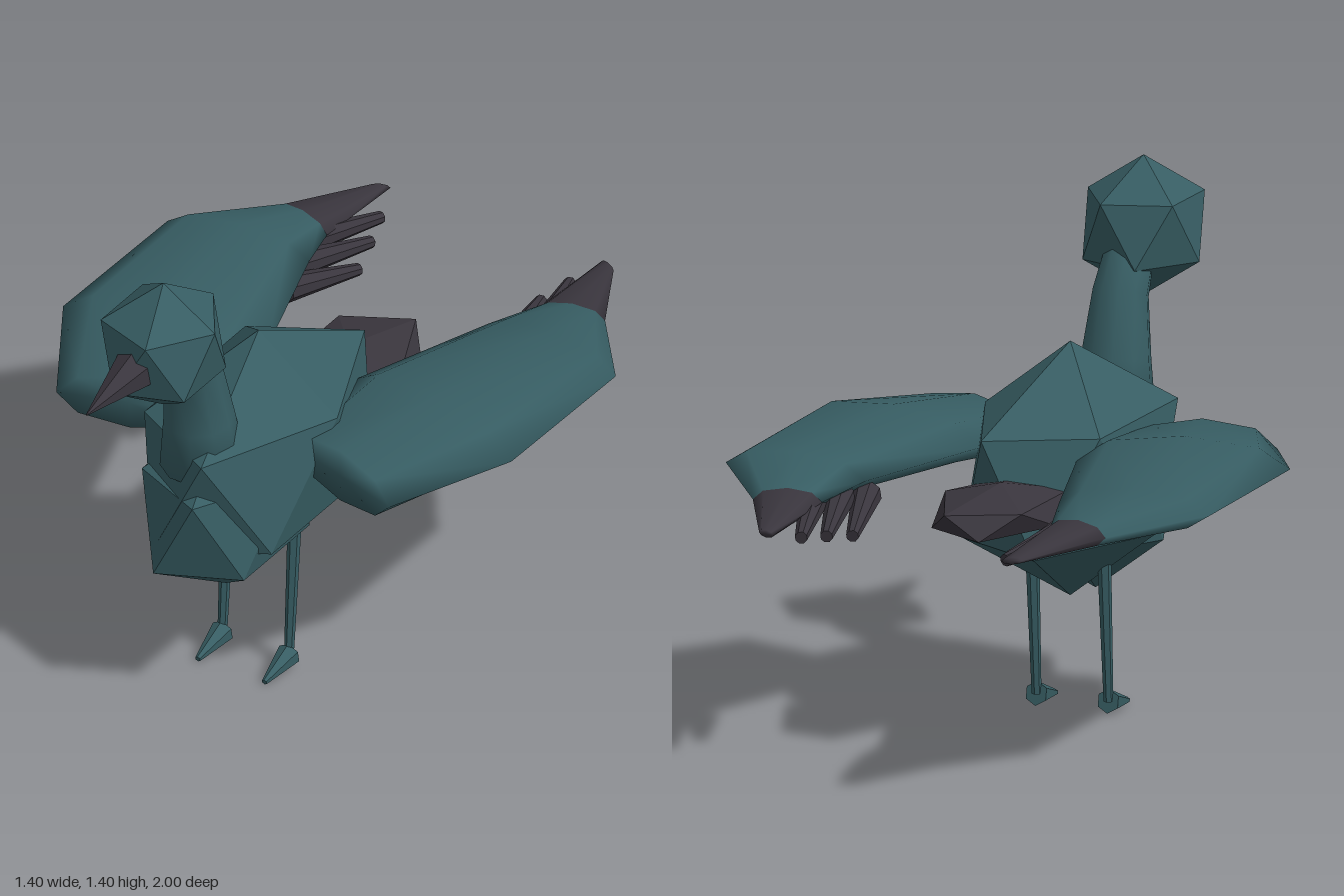
import * as THREE from 'three';
import { ConvexGeometry } from 'three/addons/geometries/ConvexGeometry.js';

const V = (x, y, z) => new THREE.Vector3(x, y, z);
const plumage = new THREE.MeshStandardMaterial({ color: 0x375d63 });
plumage.name = 'teal plumage';
const dark = new THREE.MeshStandardMaterial({ color: 0x39353d });
dark.name = 'dark feather';

function part(name, geometry, material) {
  const mesh = new THREE.Mesh(geometry, material);
  mesh.name = name;
  return mesh;
}

// Faceted twenty-sided ball standing on a corner, stretched to the given radii
function ball(c, r) {
  const points = [V(0, 1, 0), V(0, -1, 0)];
  for (let i = 0; i < 5; i++) {
    const a = (i * Math.PI * 2) / 5;
    const x = 0.8944 * Math.cos(a), z = 0.8944 * Math.sin(a);
    points.push(V(x, 0.4472, z), V(-x, -0.4472, z));
  }
  const g = new ConvexGeometry(points);
  g.scale(r.x, r.y, r.z).translate(c.x, c.y, c.z);
  g.computeVertexNormals();
  return g;
}

// Faceted tapered rod from a to b
function rod(a, b, ra, rb, sides = 6) {
  const d = b.clone().sub(a);
  const g = new THREE.CylinderGeometry(rb, ra, d.length(), sides).toNonIndexed();
  g.computeVertexNormals();
  g.applyQuaternion(new THREE.Quaternion().setFromUnitVectors(V(0, 1, 0), d.normalize()));
  const m = a.clone().add(b).multiplyScalar(0.5);
  return g.translate(m.x, m.y, m.z);
}

// Smooth skin through elliptical sections [centre, half axis u, half axis v]
function loft(sections, sides, capStart, capEnd) {
  const pos = [], index = [];
  const [c0, u0, v0] = sections[0];
  const flip = u0.clone().cross(v0).dot(sections[1][0].clone().sub(c0)) < 0;
  const tri = (a, b, c) => (flip ? index.push(a, c, b) : index.push(a, b, c));
  for (const [c, u, v] of sections) {
    for (let j = 0; j < sides; j++) {
      const a = (j * Math.PI * 2) / sides;
      pos.push(...c.clone().addScaledVector(u, Math.cos(a)).addScaledVector(v, Math.sin(a)).toArray());
    }
  }
  const last = sections.length - 1;
  for (let i = 0; i < last; i++) {
    for (let j = 0; j < sides; j++) {
      const k = (j + 1) % sides, p = i * sides, q = p + sides;
      tri(p + j, p + k, q + j);
      tri(p + k, q + k, q + j);
    }
  }
  const cap = (i, start) => {
    const m = pos.length / 3;
    pos.push(...sections[i][0].toArray());
    for (let j = 0; j < sides; j++) {
      const a = i * sides + j, b = i * sides + ((j + 1) % sides);
      start ? tri(m, b, a) : tri(m, a, b);
    }
  };
  if (capStart) cap(0, true);
  if (capEnd) cap(last, false);
  const g = new THREE.BufferGeometry();
  g.setAttribute('position', new THREE.Float32BufferAttribute(pos, 3));
  g.setIndex(index);
  g.computeVertexNormals();
  return g;
}

function makeWing(s) {
  const wing = new THREE.Group();
  wing.name = s > 0 ? 'leftWing' : 'rightWing';
  // Section from its outer and inner edge points in plan, height and half thickness
  const sec = (ox, oz, ix, iz, y, h) => [
    V((s * (ox + ix)) / 2, y, (oz + iz) / 2),
    V((s * (ox - ix)) / 2, 0, (oz - iz) / 2),
    V(0, h, 0),
  ];
  const wrist = sec(0.51, -0.735, 0.33, -0.69, 0.73, 0.035);
  wing.add(part('wingBlade', loft([
    sec(0.52, 0.335, 0.14, 0.215, 0.73, 0.077),
    sec(0.7, 0.02, 0.14, -0.1, 0.765, 0.075),
    sec(0.7, -0.49, 0.28, -0.525, 0.755, 0.055),
    wrist,
  ], 8, true, false), plumage));
  wing.add(part('wingTip', loft([
    wrist,
    sec(0.38, -0.98, 0.33, -1.0, 0.71, 0.01),
  ], 8, false, true), dark));
  // Trailing flight feathers, each one lower and shorter
  const feathers = [
    [V(s * 0.385, 0.72, -0.62), V(s * 0.295, 0.685, -0.9)],
    [V(s * 0.345, 0.71, -0.54), V(s * 0.265, 0.67, -0.805)],
    [V(s * 0.31, 0.7, -0.45), V(s * 0.238, 0.65, -0.7)],
  ];
  for (const [a, b] of feathers) wing.add(part('flightFeather', rod(a, b, 0.04, 0.017, 8), dark));
  return wing;
}

function makeLeg(s) {
  const leg = new THREE.Group();
  leg.name = s > 0 ? 'leftLeg' : 'rightLeg';
  const x = s * 0.104;
  leg.add(part('shin', rod(V(x, 0.46, 0.145), V(x, 0.04, 0.174), 0.019, 0.013), plumage));
  leg.add(part('foot', rod(V(x, 0.04, 0.172), V(x, 0.016, 0.294), 0.033, 0.008), plumage));
  return leg;
}

export function createModel() {
  const bird = new THREE.Group();
  bird.name = 'bird';
  bird.add(part('body', ball(V(0, 0.665, 0.16), V(0.275, 0.345, 0.47)), plumage));
  bird.add(part('breast', ball(V(0, 0.575, 0.32), V(0.22, 0.27, 0.305)), plumage));
  bird.add(part('head', ball(V(0, 1.22, 0.625), V(0.18, 0.19, 0.195)), plumage));
  bird.add(part('tail', ball(V(0, 0.655, -0.28), V(0.18, 0.07, 0.295)), dark));
  bird.add(part('beak', rod(V(0, 1.22, 0.7), V(0, 1.2, 1.0), 0.075, 0.002), dark));

  // Neck leaning forward into the head
  const ring = (y, z, r, tilt) => [
    V(0, y, z), V(r, 0, 0), V(0, r * Math.sin(tilt), -r * Math.cos(tilt)),
  ];
  bird.add(part('neck', loft([
    ring(0.74, 0.43, 0.115, 0),
    ring(0.9, 0.45, 0.095, 0.15),
    ring(1.07, 0.48, 0.076, 0.35),
    ring(1.2, 0.56, 0.065, 0.6),
  ], 10, true, true), plumage));

  for (const s of [1, -1]) bird.add(makeWing(s), makeLeg(s));
  return bird;
}
